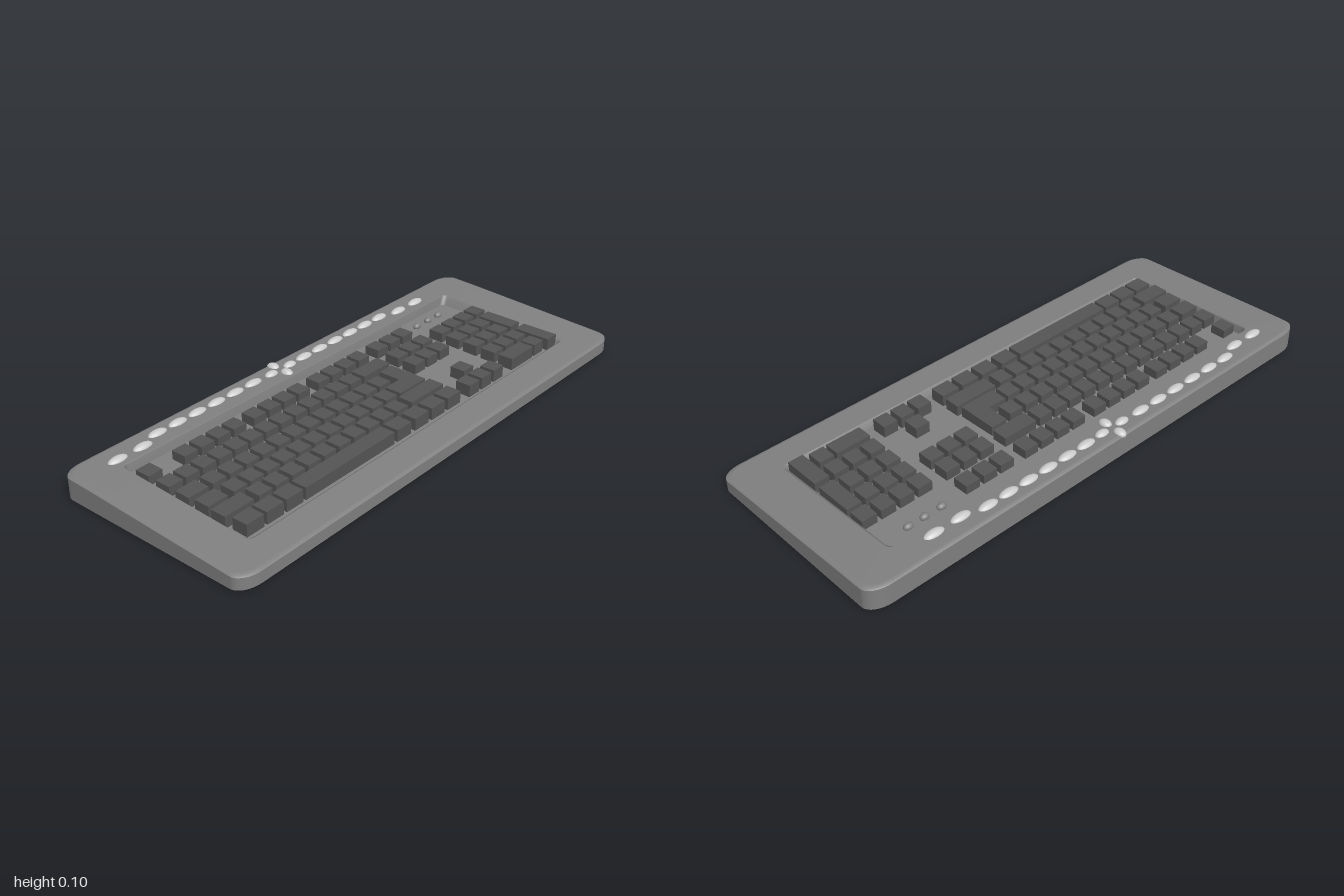
import * as THREE from 'three';

const material = (color) => new THREE.MeshStandardMaterial({ color });

// Height of the sloping deck and of the key well floor at depth z
const deckY = (z) => 0.071 - 0.048 * z - 0.03 * Math.max(0, -z - 0.3);
const floorY = (z) => 0.043 - 0.03 * z;

// Loop around a rectangle with elliptical corners and subdivided sides
function ring(x0, x1, z0, z1, rx, rz, yAt) {
  const pts = [];
  const corners = [
    [x1 - rx, z1 - rz, 0], [x0 + rx, z1 - rz, 1],
    [x0 + rx, z0 + rz, 2], [x1 - rx, z0 + rz, 3],
  ];
  corners.forEach(([cx, cz, q], c) => {
    const arc = [];
    for (let i = 0; i <= 8; i++) {
      const a = (q + i / 8) * Math.PI / 2;
      arc.push([cx + rx * Math.cos(a), cz + rz * Math.sin(a)]);
    }
    pts.push(...arc);
    // straight side towards the next corner
    const [nx, nz, nq] = corners[(c + 1) % 4];
    const b = nq * Math.PI / 2;
    const end = [nx + rx * Math.cos(b), nz + rz * Math.sin(b)];
    const start = arc[8];
    for (let i = 1; i < 8; i++) {
      pts.push([0, 1].map((k) => start[k] + (end[k] - start[k]) * i / 8));
    }
  });
  return pts.map(([x, z]) => new THREE.Vector3(x, yAt(z), z));
}

// Skin between successive loops, closed by a fan at each end.
// Each group of loops is smooth inside and sharp against its neighbours.
function loft(groups) {
  const pos = [], idx = [];
  const add = (p) => pos.push(p.x, p.y, p.z) / 3 - 1;
  const fan = (loop, flip) => {
    const mid = new THREE.Vector3();
    loop.forEach((p) => mid.addScaledVector(p, 1 / loop.length));
    const c = add(mid), ids = loop.map(add), n = ids.length;
    ids.forEach((a, i) => {
      const b = ids[(i + 1) % n];
      if (flip) idx.push(c, a, b); else idx.push(c, b, a);
    });
  };
  groups.forEach((loops) => {
    const ids = loops.map((l) => l.map(add));
    for (let k = 0; k + 1 < ids.length; k++) {
      const lo = ids[k], hi = ids[k + 1], n = lo.length;
      for (let i = 0; i < n; i++) {
        const j = (i + 1) % n;
        idx.push(lo[i], hi[i], lo[j], lo[j], hi[i], hi[j]);
      }
    }
  });
  fan(groups[0][0], true);
  fan(groups.at(-1).at(-1), false);
  const g = new THREE.BufferGeometry();
  g.setAttribute('position', new THREE.Float32BufferAttribute(pos, 3));
  g.setIndex(idx);
  g.computeVertexNormals();
  return g;
}

export function createModel() {
  const model = new THREE.Group();
  const caseMat = material(0x808080);
  const keyMat = material(0x555555);
  const buttonMat = material(0xcccccc);

  // Case: outer wall, softened edge, sloping deck, sunken key well
  const outer = (inset, yAt) =>
    ring(-1 + inset, 1 - inset, -0.397 + inset, 0.397 - inset, 0.08, 0.05, yAt);
  const base = outer(0.004, () => 0);
  const foot = outer(0, () => 0.004);
  const shoulder = outer(0, (z) => deckY(z) - 0.006);
  const bevel = outer(0.006, (z) => deckY(z) - 0.001);
  const edge = outer(0.014, deckY);
  const lip = ring(-0.85, 0.84, -0.28, 0.28, 0.02, 0.02, deckY);
  const lipSoft = ring(-0.846, 0.832, -0.277, 0.274, 0.02, 0.02, (z) => deckY(z) - 0.004);
  const well = ring(-0.842, 0.815, -0.272, 0.265, 0.02, 0.02, floorY);
  const body = new THREE.Mesh(
    loft([[base, foot], [foot, shoulder], [shoulder, bevel, edge], [edge, lip], [lip, lipSoft, well]]),
    caseMat);
  body.name = 'case';
  model.add(body);

  // Keys
  const keys = new THREE.Group();
  keys.name = 'keys';
  model.add(keys);
  const W = 0.057;
  function key(name, x0, x1, z, depth = 0.06) {
    const bottom = 0.03, top = z < -0.06 ? 0.083 : 0.081;
    const m = new THREE.Mesh(new THREE.BoxGeometry(x1 - x0, top - bottom, depth), keyMat);
    m.position.set((x0 + x1) / 2, (top + bottom) / 2, z);
    m.name = name;
    keys.add(m);
  }
  function row(name, x, count, pitch, z) {
    for (let i = 0; i < count; i++) key(name, x + i * pitch, x + i * pitch + W, z);
  }

  // Top row
  key('escapeKey', -0.835, -0.778, -0.2);
  [-0.683, -0.368, -0.045].forEach((x) => row('topRowKey', x, 4, 0.0735, -0.2));
  // Number row
  row('numberKey', -0.835, 13, 0.0713, -0.107);
  key('backspaceKey', 0.095, 0.235, -0.107);
  // Upper letter row
  key('tabKey', -0.835, -0.752, -0.02);
  row('letterKey', -0.733, 12, 0.0735, -0.02);
  // Middle letter row
  key('capsKey', -0.83, -0.748, 0.06);
  row('letterKey', -0.722, 11, 0.0735, 0.06);
  // L-shaped enter key
  key('enterKeyUpright', 0.16, 0.226, 0.016, 0.154);
  key('enterKeyFoot', 0.085, 0.16, 0.06, 0.066);
  // Lower letter row
  key('leftShiftKey', -0.835, -0.712, 0.135);
  row('letterKey', -0.69, 10, 0.0743, 0.135);
  key('rightShiftKey', 0.06, 0.235, 0.135);
  // Space row
  [-0.823, -0.738, -0.652, -0.117, -0.022, 0.07, 0.16]
    .forEach((x) => key('modifierKey', x, x + 0.073, 0.213));
  key('spaceBar', -0.566, -0.133, 0.213);

  // Navigation block and arrows
  [-0.199, -0.103, -0.025].forEach((z) => row('navigationKey', 0.283, 3, 0.0735, z));
  key('arrowKey', 0.358, 0.415, 0.137);
  row('arrowKey', 0.283, 3, 0.0735, 0.217);

  // Number pad
  row('padKey', 0.547, 4, 0.0735, -0.103);
  [-0.024, 0.056, 0.137].forEach((z) => row('padKey', 0.547, 3, 0.0735, z));
  key('padZeroKey', 0.547, 0.682, 0.216);
  key('padPointKey', 0.694, 0.751, 0.216);
  key('padPlusKey', 0.767, 0.824, 0.017, 0.145);
  key('padEnterKey', 0.767, 0.824, 0.185, 0.145);

  // Oval buttons along the back and indicator lights
  const ball = new THREE.SphereGeometry(1, 24, 14);
  function oval(name, mat, x, y, z, rx, ry, rz) {
    const m = new THREE.Mesh(ball, mat);
    m.position.set(x, y, z);
    m.scale.set(rx, ry, rz);
    m.name = name;
    model.add(m);
  }
  const button = (x, z, rx = 0.039, rz = 0.019) =>
    oval('mediaButton', buttonMat, x, 0.083, z, rx, 0.015, rz);
  for (let i = 0; i < 6; i++) {
    button(-0.643 + i * 0.0893, -0.343);
    button(0.067 + i * 0.0862, -0.343);
  }
  [-0.834, -0.73].forEach((x) => button(x, -0.316));
  [0.594, 0.7].forEach((x) => button(x, -0.324));
  // Four-way cluster
  [-0.107, -0.012].forEach((x) => button(x, -0.34, 0.029, 0.018));
  [-0.376, -0.309].forEach((z) => button(-0.06, z, 0.019, 0.025));
  [0.583, 0.652, 0.717].forEach((x) =>
    oval('indicatorLight', caseMat, x, 0.055, -0.22, 0.018, 0.013, 0.013));

  return model;
}
